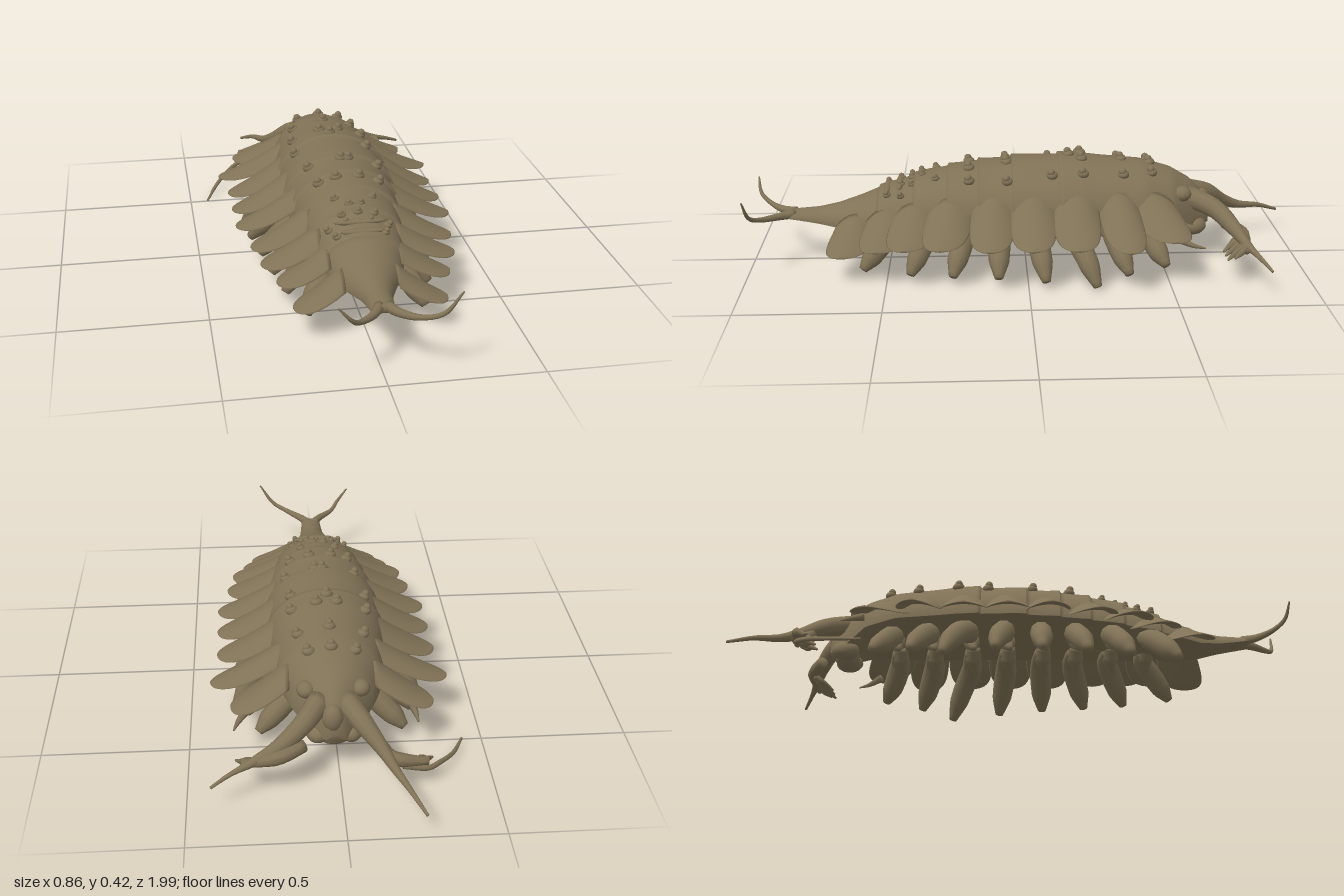
import * as THREE from 'three';

const shellMat = new THREE.MeshStandardMaterial({ color: 0x807256 });
shellMat.name = 'olive brown shell';
const CX = 0.015; // body midline

// Piecewise linear lookup in rows of [key, v1, v2, ...]
function lookup(rows, k) {
  let i = 0;
  while (i < rows.length - 2 && k > rows[i + 1][0]) i++;
  const a = rows[i], b = rows[i + 1];
  const t = THREE.MathUtils.clamp((k - a[0]) / (b[0] - a[0]), 0, 1);
  return a.slice(1).map((v, n) => v + (b[n + 1] - v) * t);
}

// Closed skin over rings of Vector3, capped at both ends
function loft(rings, flip = false) {
  const n = rings[0].length, pos = [], idx = [];
  const tri = (a, b, c) => (flip ? idx.push(a, c, b) : idx.push(a, b, c));
  rings.forEach(r => r.forEach(p => pos.push(p.x, p.y, p.z)));
  for (let i = 0; i < rings.length - 1; i++) for (let j = 0; j < n; j++) {
    const k = (j + 1) % n, a = i * n + j, b = i * n + k;
    tri(a, b, a + n);
    tri(b, b + n, a + n);
  }
  [0, rings.length - 1].forEach((ri, end) => {
    const c = new THREE.Vector3();
    rings[ri].forEach(p => c.addScaledVector(p, 1 / n));
    const ci = pos.length / 3;
    pos.push(c.x, c.y, c.z);
    for (let j = 0; j < n; j++) {
      const a = ri * n + j, b = ri * n + (j + 1) % n;
      if (end) tri(a, b, ci); else tri(b, a, ci);
    }
  });
  const g = new THREE.BufferGeometry();
  g.setAttribute('position', new THREE.Float32BufferAttribute(pos, 3));
  g.setIndex(idx);
  g.computeVertexNormals();
  return g;
}

// Tapered limb along a smooth path
function limb(points, radii, steps = 18, sides = 10) {
  const curve = new THREE.CatmullRomCurve3(points.map(p => new THREE.Vector3(...p)));
  const f = curve.computeFrenetFrames(steps);
  const rings = [];
  for (let i = 0; i <= steps; i++) {
    const t = i / steps, c = curve.getPointAt(t);
    const s = t * (radii.length - 1), k = Math.min(Math.floor(s), radii.length - 2);
    const r = THREE.MathUtils.lerp(radii[k], radii[k + 1], s - k);
    const ring = [];
    for (let j = 0; j < sides; j++) {
      const a = j / sides * Math.PI * 2;
      ring.push(c.clone().addScaledVector(f.normals[i], r * Math.cos(a)).addScaledVector(f.binormals[i], r * Math.sin(a)));
    }
    rings.push(ring);
  }
  return loft(rings);
}

// Trunk table: z, half width, base y, top y
const TRUNK = [
  [-0.67, 0.03, 0.15, 0.22], [-0.64, 0.06, 0.14, 0.27], [-0.6, 0.095, 0.16, 0.31], [-0.53, 0.145, 0.2, 0.35],
  [-0.42, 0.185, 0.215, 0.38], [-0.2, 0.205, 0.22, 0.4], [0, 0.205, 0.22, 0.395], [0.2, 0.19, 0.21, 0.375],
  [0.35, 0.17, 0.2, 0.345], [0.5, 0.145, 0.18, 0.295], [0.6, 0.115, 0.165, 0.255], [0.68, 0.075, 0.16, 0.23],
  [0.75, 0.05, 0.168, 0.216], [0.82, 0.042, 0.178, 0.21], [0.87, 0.038, 0.185, 0.206]];
const SEAMS = [-0.3, -0.12, 0.05, 0.17, 0.28, 0.4, 0.53];

// Each shell plate swells towards its rear edge, then drops at the seam
function swell(z) {
  const i = SEAMS.findIndex((s, n) => z >= s && z < SEAMS[n + 1]);
  return i < 0 ? 0 : 0.009 * ((z - SEAMS[i]) / (SEAMS[i + 1] - SEAMS[i])) ** 2;
}

// Domed above, gently rounded below
function trunkGeometry() {
  const zs = [];
  for (let i = 0; i <= 102; i++) zs.push(-0.67 + i * 0.015);
  SEAMS.forEach(s => zs.push(s - 0.001, s + 0.006));
  zs.sort((a, b) => a - b);
  return loft(zs.map(z => {
    const [w, base, top] = lookup(TRUNK, z), s = swell(z), ring = [];
    for (let j = 0; j < 48; j++) {
      const a = j / 48 * Math.PI * 2, sn = Math.sin(a);
      const y = base + (sn >= 0 ? (top + s - base) * sn : -(top - base) * 0.12 * sn * sn);
      ring.push(new THREE.Vector3(CX + (w + s) * Math.cos(a), y, z));
    }
    return ring;
  }));
}

// Side plates: root z, tip z, tip reach, tip y, half width
const PLATES = [
  [-0.44, -0.51, 0.34, 0.185, 0.09], [-0.32, -0.345, 0.41, 0.176, 0.075], [-0.17, -0.17, 0.388, 0.178, 0.084],
  [-0.02, -0.015, 0.388, 0.178, 0.082], [0.12, 0.135, 0.388, 0.178, 0.08], [0.27, 0.305, 0.353, 0.172, 0.084],
  [0.395, 0.43, 0.333, 0.165, 0.084], [0.495, 0.53, 0.292, 0.145, 0.082], [0.61, 0.655, 0.255, 0.113, 0.08]];

// Paddle cupped at the root, flattening towards a round tip
function plateGeometry([z0, z1, reach, tipY, half], side) {
  const [w, base, top] = lookup(TRUNK, z0);
  const x0 = w * 0.8, y0 = base + (top - base) * 0.52, rings = [];
  for (let i = 0; i <= 20; i++) {
    const u = 1 - (1 - i / 20) ** 1.6;
    const x = x0 + (reach - x0) * u, z = z0 + (z1 - z0) * u;
    const y = tipY + (y0 - tipY) * (1 - u) ** 1.3;
    const hw = half * (0.96 + 0.14 * u) * Math.sqrt(Math.max(0.002, 1 - u ** 3.2));
    const th = 0.004 + 0.006 * (1 - u), ring = [];
    for (let j = 0; j < 20; j++) {
      const a = j / 20 * Math.PI * 2, s = Math.sin(a);
      const droop = (0.008 + 0.035 * (1 - u)) * s * s * (hw / half);
      ring.push(new THREE.Vector3(CX + side * x, y + th * Math.cos(a) - droop, z + hw * s));
    }
    rings.push(ring);
  }
  return loft(rings, side < 0);
}

// Legs: root z, tip z, tip reach, tip y
const LEGS = [
  [-0.43, -0.49, 0.25, 0.05], [-0.3, -0.355, 0.29, 0.035], [-0.16, -0.24, 0.325, 0.005], [-0.03, -0.06, 0.32, 0.025],
  [0.1, 0.105, 0.3, 0.032], [0.22, 0.265, 0.28, 0.032], [0.35, 0.415, 0.25, 0.03], [0.48, 0.585, 0.2, 0.032]];

// Wart rows: z, then x of each wart
const WARTS = [
  [-0.45, -0.065, 0.015, 0.09], [-0.345, -0.1, 0.015, 0.12], [-0.2, -0.12, -0.02, 0.05, 0.135], [-0.155, 0.012],
  [-0.09, -0.125, 0.135], [0.07, -0.1, 0.015, 0.04, 0.145], [0.205, -0.085, -0.025, 0.055, 0.125],
  [0.325, -0.05, 0.08], [0.375, -0.01, 0.03], [0.41, -0.04, 0.015, 0.07], [0.45, -0.09, -0.03, 0.05, 0.11], [0.5, -0.07, 0.09]];

export function createModel() {
  const model = new THREE.Group();
  model.name = 'armouredCrawler';
  const add = (name, geo) => {
    const m = new THREE.Mesh(geo, shellMat);
    m.name = name;
    model.add(m);
    return m;
  };
  const ball = new THREE.SphereGeometry(1, 14, 10);
  const blob = (name, x, y, z, rx, ry = rx, rz = rx) => {
    const m = add(name, ball);
    m.position.set(x, y, z);
    m.scale.set(rx, ry, rz);
  };

  add('trunkShell', trunkGeometry());

  // Warts: a broad mound on the dome with a small knob
  WARTS.forEach(([z, ...xs]) => xs.forEach(x => {
    const [w, base, top] = lookup(TRUNK, z), q = (x - CX) / w;
    const y = base + (top - base) * Math.sqrt(1 - q * q) + swell(z);
    const r = z > 0.3 ? 0.013 : 0.018;
    blob('wart', x, y, z, r * 1.25, r * 0.9, r * 1.15);
    blob('wartKnob', x + q * 0.012, y + r * 0.7, z + r * 0.2, r * 0.75);
  }));
  // Low ridges on the rear plates
  [[0.385, 0.05], [0.455, 0.09], [0.5, 0.075]].forEach(([z, r]) => {
    const [, , top] = lookup(TRUNK, z);
    blob('rearRidge', CX, top - 0.002, z, r, 0.011, 0.014);
  });

  for (const s of [1, -1]) {
    const side = s > 0 ? 'left' : 'right';
    const at = (x, y, z) => [CX + s * x, y, z];
    PLATES.forEach(p => add(side + 'SidePlate', plateGeometry(p, s)));
    LEGS.forEach(([z0, z1, r, y]) => {
      add(side + 'Leg', limb([at(0.05, 0.185, z0), at(r * 0.5, 0.17, z0), at(r * 0.8, 0.11, (z0 + z1) / 2), at(r, y + 0.015, z1)],
        [0.022, 0.034, 0.04, 0.04, 0.036, 0.015]));
      // Short inner lobe under the belly
      add(side + 'BellyLobe', limb([at(0.04, 0.2, z0 + 0.01), at(0.085, 0.155, z0 + 0.01), at(0.11, 0.125, z0 + 0.02)],
        [0.025, 0.03, 0.01], 10, 8));
    });
    blob(side + 'Eye', CX + s * 0.09, 0.278, -0.56, 0.032, 0.028, 0.035);
    blob(side + 'Jaw', CX + s * 0.055, 0.145, -0.61, 0.04, 0.035, 0.05);
    // Tail fork
    const tipX = s > 0 ? 0.21 : 0.165, tipY = s > 0 ? 0.305 : 0.28;
    add(side + 'TailProng', limb([at(0.012, 0.195, 0.84), at(0.04, 0.195, 0.89), at(0.095, 0.203, 0.945), at(tipX * 0.75, 0.23, 0.98), at(tipX, tipY, 0.993)],
      [0.018, 0.013, 0.009, 0.007, 0.003]));
  }
  blob('snout', CX + 0.007, 0.22, -0.645, 0.036, 0.05, 0.035);
  blob('mouthPlate', CX, 0.14, -0.61, 0.06, 0.04, 0.045);

  // Antennae
  add('leftAntenna', limb([[0.06, 0.255, -0.59], [0.12, 0.225, -0.68], [0.2, 0.18, -0.735], [0.29, 0.145, -0.77], [0.36, 0.125, -0.8], [0.42, 0.1, -0.83]],
    [0.04, 0.036, 0.03, 0.02, 0.009, 0.005]));
  add('rightAntenna', limb([[-0.02, 0.255, -0.59], [-0.07, 0.225, -0.68], [-0.13, 0.17, -0.76], [-0.165, 0.14, -0.83], [-0.2, 0.125, -0.91], [-0.245, 0.09, -0.995]],
    [0.04, 0.036, 0.026, 0.015, 0.009, 0.005]));
  // Feathered mouth limbs with small fingers
  [[0.26, 0.135, -0.74, 1], [-0.22, 0.11, -0.73, -1]].forEach(([x, y, z, s]) => {
    const name = s > 0 ? 'left' : 'right';
    add(name + 'MouthLimb', limb([[s * 0.12, 0.17, -0.72], [x - s * 0.06, y + 0.025, z - 0.025], [x + s * 0.06, y, z - 0.02]], [0.022, 0.024, 0.012], 10, 8));
    for (let i = 0; i < 7; i++) {
      const fx = x + s * (i * 0.02 - 0.07), d = i % 2 ? 1 : 0.55;
      add(name + 'Finger', limb([[fx, y + 0.01, z - 0.02], [fx + s * 0.012, y - 0.01, z + 0.015 * d], [fx + s * 0.03, y - 0.03 * d, z + 0.045 * d]],
        [0.012, 0.011, 0.004], 6, 6));
    }
  });
  add('rightWhip', limb([[-0.2, 0.1, -0.755], [-0.28, 0.075, -0.74], [-0.33, 0.06, -0.69], [-0.385, 0.035, -0.61], [-0.432, 0.012, -0.5]],
    [0.012, 0.009, 0.008, 0.007, 0.004]));
  // Small spines beside the front side plates
  add('leftSpine', limb([[0.3, 0.18, -0.52], [0.33, 0.165, -0.57], [0.345, 0.16, -0.61]], [0.016, 0.01, 0.003], 8, 6));
  add('rightSpine', limb([[-0.25, 0.18, -0.52], [-0.26, 0.17, -0.56], [-0.265, 0.16, -0.6]], [0.016, 0.01, 0.003], 8, 6));
  return model;
}
